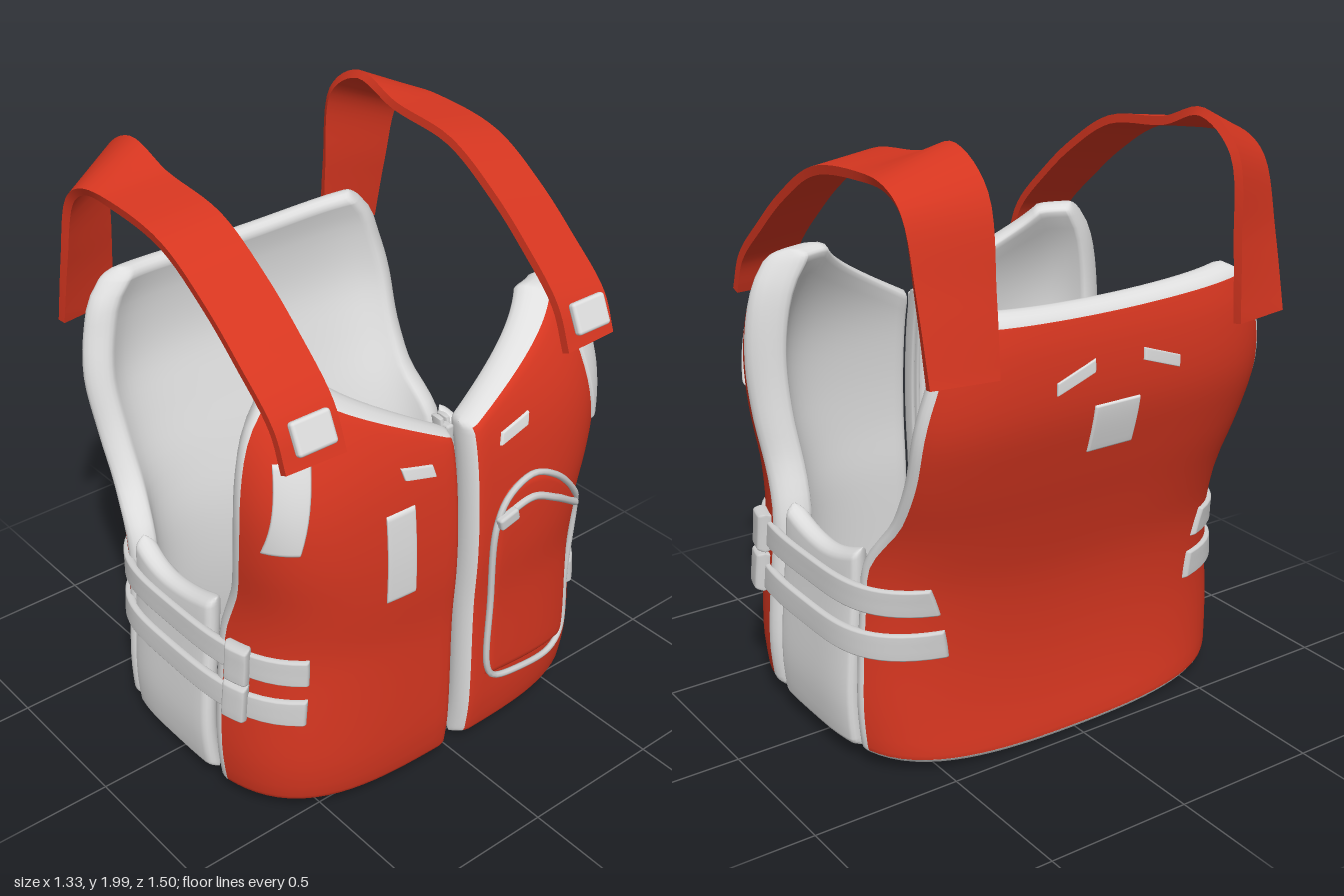
import * as THREE from 'three';
import { mergeVertices, toCreasedNormals } from 'three/addons/utils/BufferGeometryUtils.js';
import { RoundedBoxGeometry } from 'three/addons/geometries/RoundedBoxGeometry.js';

const lerp = THREE.MathUtils.lerp;

// Smooth 1D interpolation through [key, value] pairs
function curve1(keys) {
  const slope = (i) => {
    const a = keys[Math.max(0, i - 1)], b = keys[Math.min(keys.length - 1, i + 1)];
    return (b[1] - a[1]) / (b[0] - a[0]);
  };
  return (k) => {
    const q = THREE.MathUtils.clamp(k, keys[0][0], keys[keys.length - 1][0]);
    let i = 0;
    while (i < keys.length - 2 && q > keys[i + 1][0]) i++;
    const h = keys[i + 1][0] - keys[i][0], u = (q - keys[i][0]) / h;
    return (1 + 2 * u) * (1 - u) ** 2 * keys[i][1] + u * (1 - u) ** 2 * h * slope(i)
      + u * u * (3 - 2 * u) * keys[i + 1][1] + u * u * (u - 1) * h * slope(i + 1);
  };
}

// Torso form: depth of front, depth of back and half width by height; chest faces +x
const frontX = curve1([[0.03, 0.6], [0.2, 0.62], [0.6, 0.62], [0.8, 0.63], [1, 0.625], [1.2, 0.6], [1.35, 0.55], [1.53, 0.45]]);
const backX = curve1([[0, 0.48], [0.2, 0.455], [0.4, 0.45], [0.6, 0.47], [0.8, 0.52], [1, 0.58], [1.2, 0.63], [1.4, 0.63], [1.53, 0.6]]);
const sideZ = curve1([[0, 0.72], [0.2, 0.74], [0.4, 0.73], [0.6, 0.71], [0.8, 0.7], [1, 0.72], [1.2, 0.73], [1.4, 0.72], [1.53, 0.7]]);
// Squareness of the plan, boxier towards the shoulders
const power = (y) => lerp(3.5, 4.8, THREE.MathUtils.smoothstep(y, 0.6, 1.2));
const other = (t, y) => (1 - Math.min(1, Math.abs(t)) ** power(y)) ** (1 / power(y));

// Point on the torso at plan angle phi and height y, sunk by depth o
function surf(phi, y, o) {
  const c = Math.cos(phi), s = Math.sin(phi), n = power(y);
  const r = (Math.abs(c) ** n + Math.abs(s) ** n) ** (-1 / n);
  return new THREE.Vector3(((c > 0 ? frontX(y) : backX(y)) - o) * r * c, y, (sideZ(y) - o) * r * s);
}
const phiZ = (z, y) => Math.atan2(z / sideZ(y), other(z / sideZ(y), y));
const phiX = (x, y) => {
  const t = x / (x > 0 ? frontX(y) : backX(y));
  return Math.atan2(other(t, y), t);
};

// Closed slab following the torso, with rounded rim; border gives trim widths at start, end, bottom and top
function slab(at, { w, h, o, thick, rim, border, ns = 8, nt = 8, mats }) {
  const trim = border || [0, 0, 0, 0];
  const samples = (n, size, b0, b1) => {
    const edge = (b) => [...[0, 0.08, 0.3, 0.6, 1].map((k) => k * rim), ...(b ? [b] : [])].sort((p, q) => p - q).map((d) => d / size);
    const e0 = edge(b0), e1 = edge(b1), from = e0[e0.length - 1], to = 1 - e1[e1.length - 1], mid = [];
    for (let i = 1; i < n; i++) mid.push(lerp(from, to, i / n));
    return [...e0, ...mid, ...e1.map((k) => 1 - k).reverse()];
  };
  const S = samples(ns, w, trim[0], trim[1]), T = samples(nt, h, trim[2], trim[3]), W = S.length;
  const bulge = (k, size) => Math.sqrt(Math.max(0, 1 - (1 - Math.min(1, Math.min(k, 1 - k) * size / rim)) ** 2));
  const pos = [], lists = [[], []];
  for (const side of [-1, 1]) for (const t of T) for (const s of S) {
    const [phi, y] = at(s, t);
    const half = thick / 2 * bulge(s, w) * bulge(t, h);
    pos.push(...surf(phi, y, o + thick / 2 + side * half).toArray());
  }
  const flip = at(1, 0.5)[0] < at(0, 0.5)[0];
  for (let k = 0; k < 2; k++) for (let j = 0; j < T.length - 1; j++) for (let i = 0; i < W - 1; i++) {
    const a = k * W * T.length + j * W + i, b = a + 1, d = a + W, c = d + 1;
    const s = (S[i] + S[i + 1]) / 2, t = (T[j] + T[j + 1]) / 2;
    const inTrim = s * w < trim[0] || (1 - s) * w < trim[1] || t * h < trim[2] || (1 - t) * h < trim[3];
    const list = lists[border && (k === 1 || inTrim) ? 1 : 0];
    if ((k === 1) !== flip) list.push(a, b, c, a, c, d);
    else list.push(a, c, b, a, d, c);
  }
  let g = new THREE.BufferGeometry();
  g.setAttribute('position', new THREE.Float32BufferAttribute(pos, 3));
  g.setIndex([...lists[0], ...lists[1]]);
  g.addGroup(0, lists[0].length, 0);
  if (border) g.addGroup(lists[0].length, lists[1].length, 1);
  g = mergeVertices(g, 1e-5);
  g.computeVertexNormals();
  return new THREE.Mesh(g, border ? mats : mats[0]);
}

// Flat band swept between two edge curves
function ribbon(edgeA, edgeB, thick, n, mat) {
  const A = new THREE.CatmullRomCurve3(edgeA), B = new THREE.CatmullRomCurve3(edgeB);
  const pos = [], idx = [];
  for (let i = 0; i <= n; i++) {
    const a = A.getPoint(i / n), b = B.getPoint(i / n);
    const tan = A.getTangent(i / n).add(B.getTangent(i / n));
    const nor = tan.cross(b.clone().sub(a)).normalize().multiplyScalar(thick / 2);
    for (const p of [a.clone().add(nor), b.clone().add(nor), b.clone().sub(nor), a.clone().sub(nor)]) pos.push(...p.toArray());
    if (i < n) for (let j = 0; j < 4; j++) {
      const p = i * 4 + j, q = i * 4 + (j + 1) % 4;
      idx.push(p, p + 4, q + 4, p, q + 4, q);
    }
  }
  const e = n * 4;
  idx.push(0, 1, 2, 0, 2, 3, e, e + 2, e + 1, e, e + 3, e + 2);
  const g = new THREE.BufferGeometry();
  g.setAttribute('position', new THREE.Float32BufferAttribute(pos, 3));
  g.setIndex(idx);
  return new THREE.Mesh(toCreasedNormals(g, 0.8), mat);
}

export function createModel() {
  const material = (name, color) => new THREE.MeshStandardMaterial({ name, color });
  const red = material('red fabric', 0xd63620);
  const white = material('white trim', 0xdedede);
  const grey = material('pale grey webbing', 0xcfcfcf);
  const model = new THREE.Group();
  const add = (name, mesh) => { mesh.name = name; model.add(mesh); return mesh; };

  // Back panel
  const backEdge = curve1([[0, -0.25], [0.6, -0.24], [0.69, -0.25], [0.75, -0.285], [0.87, -0.385], [1.05, -0.475], [1.3, -0.54], [1.45, -0.56], [1.53, -0.572]]);
  add('backPanel', slab((s, t) => {
    const k = (2 * s - 1) ** 2, y = lerp(0.05 * k, 1.51 + 0.02 * k, t), p = phiX(backEdge(y), y);
    return [lerp(p, 2 * Math.PI - p, s), y];
  }, { w: 1.6, h: 1.5, o: 0, thick: 0.085, rim: 0.04, border: [0.055, 0.055, 0.025, 0.035], ns: 36, nt: 32, mats: [red, white] }));

  const frontEdge = curve1([[0.04, 0.245], [0.6, 0.235], [0.69, 0.245], [0.75, 0.265], [0.87, 0.31], [1.1, 0.355], [1.4, 0.375], [1.53, 0.39]]);
  // Thin plate laid on the chest or back, given four [z, y] corners
  const plate = (name, [a, b, c, d], back = false) => add(name, slab((s, t) => {
    const z = lerp(lerp(a[0], b[0], s), lerp(d[0], c[0], s), t);
    const y = lerp(lerp(a[1], b[1], s), lerp(d[1], c[1], s), t);
    return [back ? Math.PI - phiZ(z, y) : phiZ(z, y), y];
  }, { w: 0.12, h: 0.12, o: -0.008, thick: 0.018, rim: 0.006, mats: [white] }));

  for (const m of [1, -1]) {
    const side = m > 0 ? 'left' : 'right';
    // Front panel with sloping neckline
    add(side + 'FrontPanel', slab((s, t) => {
      const y = lerp(0.04, Math.min(1.53, 1.26 + 0.35 * s), t);
      return [m * lerp(phiZ(0.028, y), phiX(frontEdge(y), y), s), y];
    }, { w: 0.85, h: 1.35, o: 0, thick: 0.115, rim: 0.04, border: [0.02, 0.05, 0.02, 0.018], ns: 20, nt: 30, mats: [red, white] }));

    // Flank panel
    add(side + 'FlankPanel', slab((s, t) => {
      const y = lerp(0.05, 0.69 + 0.045 * (2 * s - 1) ** 2, t);
      return [m * lerp(phiX(0.215, y), phiX(-0.24, y), s), y];
    }, { w: 0.46, h: 0.67, o: 0.005, thick: 0.07, rim: 0.03, ns: 12, nt: 14, mats: [white] }));

    // Flank belts and their buckles
    for (const [y0, y1, b0, b1] of [[0.395, 0.49, 0.39, 0.522], [0.545, 0.64, 0.528, 0.66]]) {
      add(side + 'Belt', slab((s, t) => {
        const pinch = 0.006 * Math.sin(Math.PI * s), y = lerp(y0 + pinch, y1 - pinch, t);
        return [m * lerp(phiX(0.53, y), phiX(-0.42, y), s), y];
      }, { w: 1.1, h: 0.09, o: -0.014, thick: 0.026, rim: 0.008, ns: 32, nt: 3, mats: [grey] }));
      add(side + 'Buckle', slab((s, t) => {
        const y = lerp(b0, b1, t);
        return [m * lerp(phiX(0.385, y), phiX(0.3, y), s), y];
      }, { w: 0.09, h: 0.13, o: -0.04, thick: 0.05, rim: 0.012, ns: 4, nt: 4, mats: [grey] }));
    }

    // Shoulder strap
    const points = (z, list) => list.map(([x, y]) => new THREE.Vector3(x, y, m * z));
    add(side + 'ShoulderStrap', ribbon(
      points(0.655, [[-0.615, 1.36], [-0.56, 1.6], [-0.495, 1.82], [-0.41, 1.88], [-0.25, 1.89], [0, 1.855], [0.2, 1.74], [0.35, 1.62], [0.5, 1.48], [0.55, 1.36]]),
      points(0.445, [[-0.65, 1.36], [-0.635, 1.6], [-0.6, 1.88], [-0.45, 1.98], [-0.27, 1.925], [0, 1.885], [0.2, 1.77], [0.35, 1.65], [0.5, 1.5], [0.56, 1.36]]),
      0.028, 54, red));
    const tab = add(side + 'StrapTab', new THREE.Mesh(new RoundedBoxGeometry(0.03, 0.105, 0.14, 2, 0.012), white));
    tab.position.set(0.55, 1.46, m * 0.55);
    tab.rotation.z = 0.43;

    // Chest and back patches
    plate(side + 'StrapAnchor', [[m * 0.6, 1.06], [m * 0.68, 1.06], [m * 0.635, 1.35], [m * 0.535, 1.35]]);
    plate(side + 'ChestPatch', [[m * 0.13, 1.17], [m * 0.25, 1.2], [m * 0.26, 1.24], [m * 0.14, 1.21]]);
    plate(side + 'BackPatch', [[m * 0.09, 1.31], [m * 0.23, 1.26], [m * 0.23, 1.3], [m * 0.09, 1.35]], true);

    // Zip tape
    add(side + 'ZipTape', slab((s, t) => {
      const y = lerp(0.05, 1.27, t);
      return [m * lerp(phiZ(0.003, y), phiZ(0.024, y), s), y];
    }, { w: 0.02, h: 1.2, o: 0.085, thick: 0.045, rim: 0.004, ns: 2, nt: 20, mats: [grey] }));
  }
  plate('namePatch', [[0.22, 0.8], [0.33, 0.8], [0.33, 1.11], [0.22, 1.11]]);
  plate('backSquare', [[-0.085, 1.04], [0.085, 1.04], [0.085, 1.2], [-0.085, 1.2]], true);

  // Zip pull
  const pull = add('zipPull', new THREE.Mesh(new RoundedBoxGeometry(0.04, 0.07, 0.03, 2, 0.01), grey));
  pull.position.set(0.505, 1.22, 0);

  // Pocket with piping, flap seam and pull
  const pocketTop = curve1([[0.1, 0.92], [0.15, 1], [0.25, 1.03], [0.36, 0.98], [0.51, 0.81]]);
  add('pocket', slab((s, t) => {
    const z = lerp(0.1, 0.51, s), y = lerp(0.29 - 0.05 * s, pocketTop(z), t);
    return [-phiZ(z, y), y];
  }, { w: 0.41, h: 0.7, o: -0.016, thick: 0.05, rim: 0.03, ns: 12, nt: 16, mats: [red] }));
  const piping = (name, list, closed, o, r) => {
    const path = new THREE.CatmullRomCurve3(list.map(([z, y]) => surf(-phiZ(z, y), y, o)), closed);
    add(name, new THREE.Mesh(new THREE.TubeGeometry(path, 90, r, 8, closed), grey));
  };
  piping('pocketPiping', [[0.1, 0.9], [0.1, 0.6], [0.1, 0.34], [0.13, 0.285], [0.25, 0.25], [0.42, 0.23], [0.485, 0.27],
    [0.5, 0.5], [0.515, 0.78], [0.49, 0.84], [0.36, 0.98], [0.25, 1.03], [0.15, 0.99]], true, -0.012, 0.011);
  piping('pocketZip', [[0.12, 0.92], [0.18, 0.945], [0.25, 0.95], [0.35, 0.9], [0.49, 0.8]], false, -0.018, 0.013);
  const tag = add('pocketPull', new THREE.Mesh(new RoundedBoxGeometry(0.03, 0.045, 0.08, 2, 0.01), grey));
  tag.position.set(0.655, 0.925, -0.135);
  tag.rotation.x = 0.25;
  return model;
}
